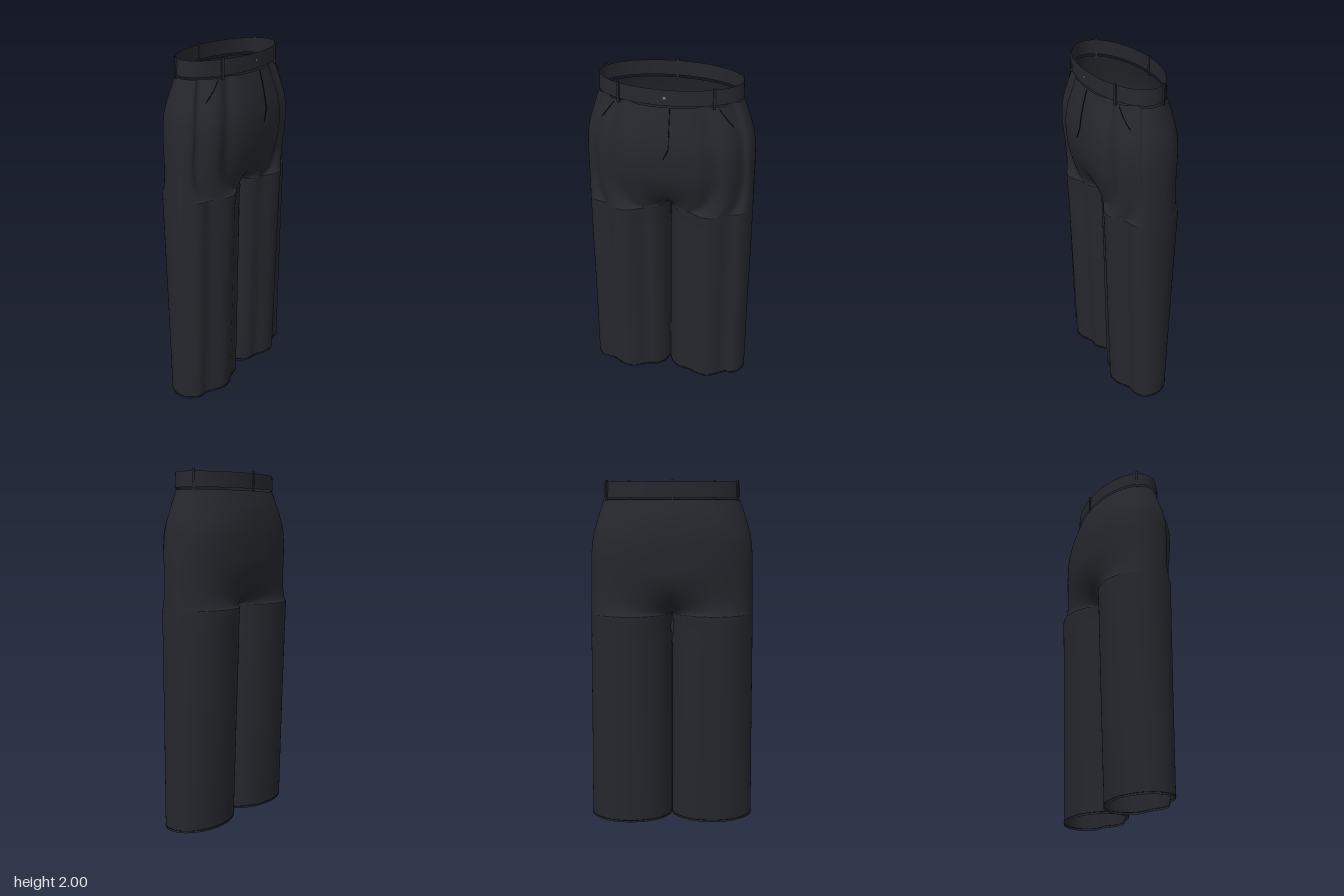
import * as THREE from 'three';
import { mergeVertices } from 'three/addons/utils/BufferGeometryUtils.js';

const TOP = 1.895, FORK = 1.25, RISE = 0.25;
const cloth = new THREE.MeshStandardMaterial({ color: 0x25272d, side: THREE.DoubleSide });
const thread = new THREE.MeshStandardMaterial({ color: 0x08080a });
const metal = new THREE.MeshStandardMaterial({ color: 0x8a8f98 });

// Silhouette by height: half width, front depth, back depth
const heights = [0, 0.5, 1.0, 1.2, 1.4, 1.5, 1.6, 1.7, 1.8, TOP];
const profile = new THREE.CubicInterpolant(heights, [
  0.487, 0.163, 0.168,
  0.480, 0.176, 0.190,
  0.475, 0.189, 0.212,
  0.472, 0.196, 0.221,
  0.468, 0.212, 0.232,
  0.466, 0.228, 0.240,
  0.462, 0.236, 0.244,
  0.449, 0.230, 0.241,
  0.420, 0.211, 0.226,
  0.387, 0.186, 0.197,
], 3);

const bump = (a, centre, width) => Math.exp(-(((a - centre) / width) ** 2));

// Point on the left half; a runs from centre back (-PI/2) round the outside to centre front (PI/2).
// Above the fork the section is a half ellipse, below it a closed leg, with a blend between.
function surfacePoint(a, y) {
  const [rx, front, back] = profile.evaluate(y);
  const t = THREE.MathUtils.clamp((y - FORK) / RISE, 0, 1);
  const leg = 1 - Math.sqrt(t * (2 - t));
  const depth = a > 0 ? front : back;
  const full = 1 - 0.13 * THREE.MathUtils.smoothstep(TOP - y, 0, 0.25);
  const c = Math.max(0, Math.cos(a)), s = Math.sin(a);
  const hipX = rx * Math.pow(c, full);
  const hipZ = depth * Math.sign(s) * Math.pow(Math.abs(s), full);
  let x = THREE.MathUtils.lerp(hipX, rx * c * c, leg);
  let z = THREE.MathUtils.lerp(hipZ, depth * Math.sin(2 * a), leg);
  // Soft pleats down the front
  z -= 0.034 * bump(a, 0.53, 0.14) + 0.022 * bump(a, 1.02, 0.13);
  // Narrow opening between the legs just below the fork
  if (y < FORK) {
    const slit = y > 1.07 ? 0.004 * Math.sin(Math.PI * (y - 1.07) / 0.18) : 0;
    x += (0.001 + slit) * c ** 0 * (1 - x / rx);
  }
  return new THREE.Vector3(x, y, z);
}

// Surface point on the front at a given x
function frontPoint(x, y, lift = 0.003) {
  let lo = 0, hi = Math.PI / 2;
  for (let i = 0; i < 30; i++) {
    const mid = (lo + hi) / 2;
    if (surfacePoint(mid, y).x > Math.abs(x)) lo = mid; else hi = mid;
  }
  const p = surfacePoint(hi, y);
  return new THREE.Vector3(x, y, p.z + lift);
}

// Both halves of the trousers, welded along the centre seam
function trouserGeometry() {
  const rows = [];
  for (let i = 0; i < 40; i++) rows.push(FORK * i / 40);
  for (let i = 0; i < 24; i++) rows.push(FORK + RISE * (i / 24) ** 2);
  for (let i = 0; i <= 24; i++) rows.push(FORK + RISE + (TOP - FORK - RISE) * i / 24);
  const N = 96, positions = [], index = [];
  for (const side of [1, -1]) {
    const base = positions.length / 3;
    rows.forEach((y, r) => {
      for (let i = 0; i <= N; i++) {
        const p = surfacePoint(-Math.PI / 2 + Math.PI * i / N, y);
        positions.push(side * p.x, p.y, p.z);
        if (r === rows.length - 1 || i === N) continue;
        const a = base + r * (N + 1) + i, b = a + 1, c = a + N + 1, d = c + 1;
        if (side > 0) index.push(a, c, b, b, c, d);
        else index.push(a, b, c, b, d, c);
      }
    });
  }
  const geometry = new THREE.BufferGeometry();
  geometry.setAttribute('position', new THREE.Float32BufferAttribute(positions, 3));
  geometry.setIndex(index);
  const welded = mergeVertices(geometry, 1e-5);
  welded.computeVertexNormals();
  return welded;
}

export function createModel() {
  const group = new THREE.Group();
  const add = (name, geometry, material) => {
    const mesh = new THREE.Mesh(geometry, material);
    mesh.name = name;
    group.add(mesh);
    return mesh;
  };
  // Thin seam through a row of points
  const seam = (name, points, radius = 0.002) => {
    const path = new THREE.CatmullRomCurve3(points, false, 'centripetal');
    return add(name, new THREE.TubeGeometry(path, points.length * 4, radius, 5), thread);
  };

  add('trousers', trouserGeometry(), cloth);

  // Waistband: oval ring with a slim gap below it
  const band = add('waistband', new THREE.CylinderGeometry(0.381, 0.387, 0.085, 96, 1, true), cloth);
  band.scale.z = 0.5;
  band.position.set(0, 1.9485, -0.004);

  // Belt loops
  for (const [x, z] of [[0.25, 0.145], [-0.25, 0.145], [0.366, -0.068], [-0.366, -0.068], [0, -0.197]]) {
    const loop = add('beltLoop', new THREE.BoxGeometry(0.014, 0.115, 0.009), cloth);
    loop.position.set(x, 1.9425, z);
    loop.rotation.y = Math.atan2(x / 0.148, z / 0.037);
  }

  // Fly stitching
  const fly = [];
  for (let i = 0; i <= 12; i++) fly.push(frontPoint(0.028, 1.892 - 0.21 * i / 12, 0.005));
  for (let i = 1; i <= 5; i++) fly.push(frontPoint(0.028 - 0.0052 * i, 1.682 - 0.012 * i, 0.005));
  seam('flyStitching', fly);

  for (const side of [1, -1]) {
    // Slanted pocket openings
    const pocket = [];
    for (let i = 0; i <= 10; i++) pocket.push(frontPoint(side * (0.275 + 0.0075 * i), 1.885 - 0.0105 * i));
    seam('pocketSeam', pocket);

    // Hem stitching
    const hem = [];
    for (let i = 0; i <= 48; i++) {
      const p = surfacePoint(-Math.PI / 2 + Math.PI * i / 48, 0.012);
      hem.push(new THREE.Vector3(side * p.x, p.y, p.z));
    }
    seam('hemStitching', hem, 0.0015);
  }

  // Waist button
  const button = add('waistButton', new THREE.CylinderGeometry(0.007, 0.007, 0.006, 16), metal);
  button.rotation.x = Math.PI / 2;
  button.position.set(0, 1.95, 0.19);

  return group;
}
